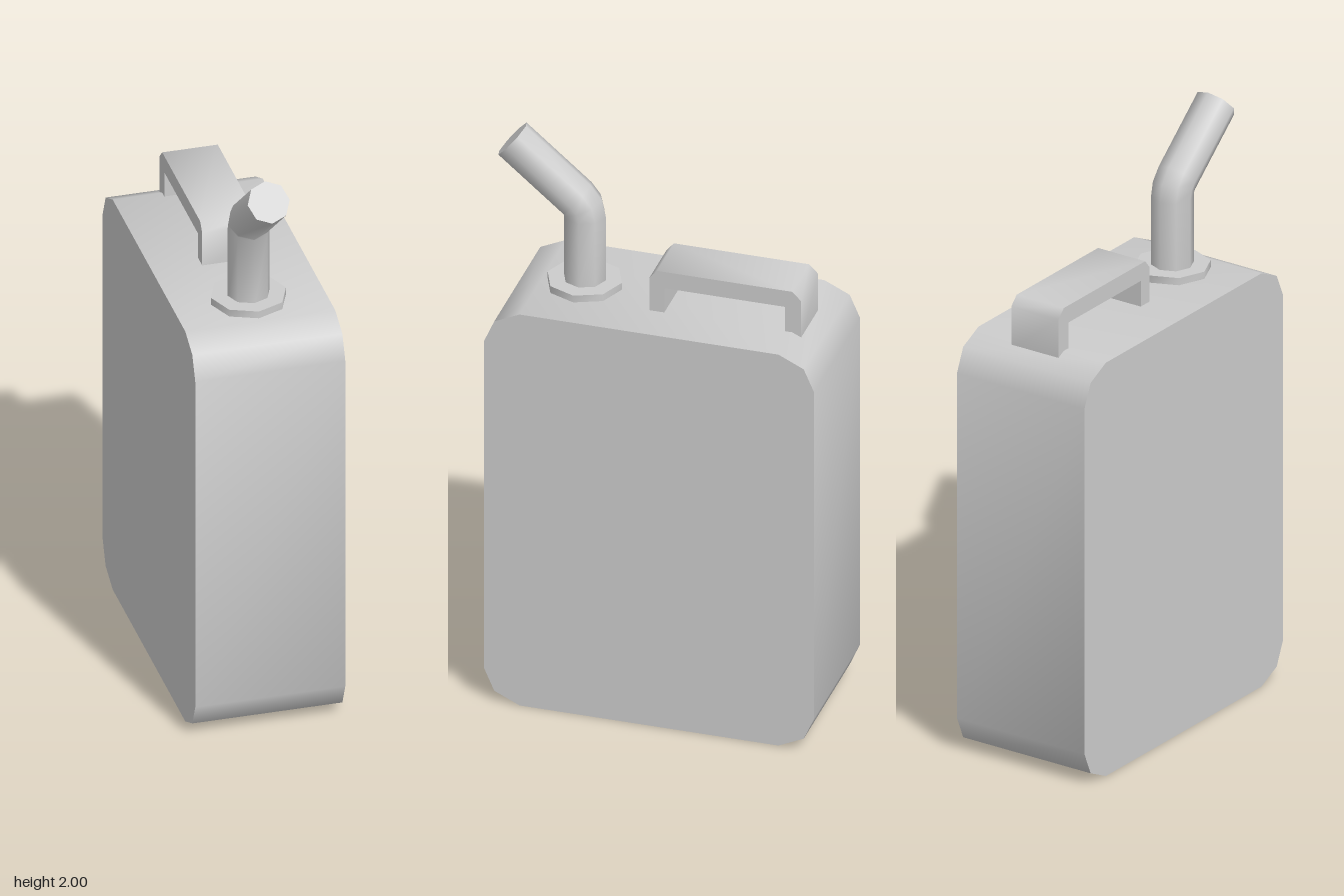
import * as THREE from 'three';
import { toCreasedNormals } from 'three/addons/utils/BufferGeometryUtils.js';

const CREASE = 0.9; // soft across bevels and round sides, sharp at right angles
const material = new THREE.MeshStandardMaterial({ color: 0xcccccc });

function makePart(name, geometry) {
  const mesh = new THREE.Mesh(toCreasedNormals(geometry, CREASE), material);
  mesh.name = name;
  return mesh;
}

// Extrudes a side profile of [z, y] points from x0 to x1.
function sideExtrusion(points, x0, x1) {
  const shape = new THREE.Shape(points.map(([z, y]) => new THREE.Vector2(-z, y)));
  const geometry = new THREE.ExtrudeGeometry(shape, { depth: x1 - x0, bevelEnabled: false });
  return geometry.rotateY(Math.PI / 2).translate(x0, 0, 0);
}

// Rectangle with every corner cut in three facets.
function bodyProfile(z0, z1, height) {
  const corner = [[0, 0.12], [0.035, 0.04], [0.12, 0]];
  const reversed = [...corner].reverse();
  return [
    ...corner.map(([a, b]) => [z0 + a, b]),
    ...reversed.map(([a, b]) => [z1 - a, b]),
    ...corner.map(([a, b]) => [z1 - a, height - b]),
    ...reversed.map(([a, b]) => [z0 + a, height - b]),
  ];
}

// Cylinder whose rows are hinged about the inside of the bend.
function spoutGeometry() {
  const r = 0.07, hingeZ = 0.348, hingeY = 1.71;
  const rows = [[0, -0.26], [0, 0], [25, 0], [50, 0], [50, 0.285]]; // tilt in degrees, offset along the pipe
  const geometry = new THREE.CylinderGeometry(r, r, 1, 8, rows.length - 1);
  const p = geometry.attributes.position;
  for (let i = 0; i < p.count; i++) {
    const [tilt, offset] = rows[Math.round((p.getY(i) + 0.5) * (rows.length - 1))];
    const a = THREE.MathUtils.degToRad(tilt);
    const d = r + 0.0005 - p.getZ(i);
    p.setXYZ(i, p.getX(i),
      hingeY + d * Math.sin(a) + offset * Math.cos(a),
      hingeZ - d * Math.cos(a) + offset * Math.sin(a));
  }
  return geometry;
}

export function createModel() {
  const model = new THREE.Group();
  model.name = 'fuelCan';

  // Main tank
  model.add(makePart('body', sideExtrusion(bodyProfile(-0.57, 0.54, 1.45), -0.25, 0.25)));

  // Carrying handle
  const handle = [
    [0.03, 1.42], [0.03, 1.57], [0.005, 1.6], [-0.45, 1.6], [-0.48, 1.57], [-0.48, 1.42],
    [-0.425, 1.42], [-0.425, 1.54], [-0.02, 1.54], [-0.02, 1.42],
  ];
  model.add(makePart('handle', sideExtrusion(handle, -0.085, 0.1)));

  // Collar and bent pouring spout
  model.add(makePart('collar',
    new THREE.CylinderGeometry(0.125, 0.125, 0.045, 8).translate(0, 1.4525, 0.278)));
  model.add(makePart('spout', spoutGeometry()));

  return model;
}
